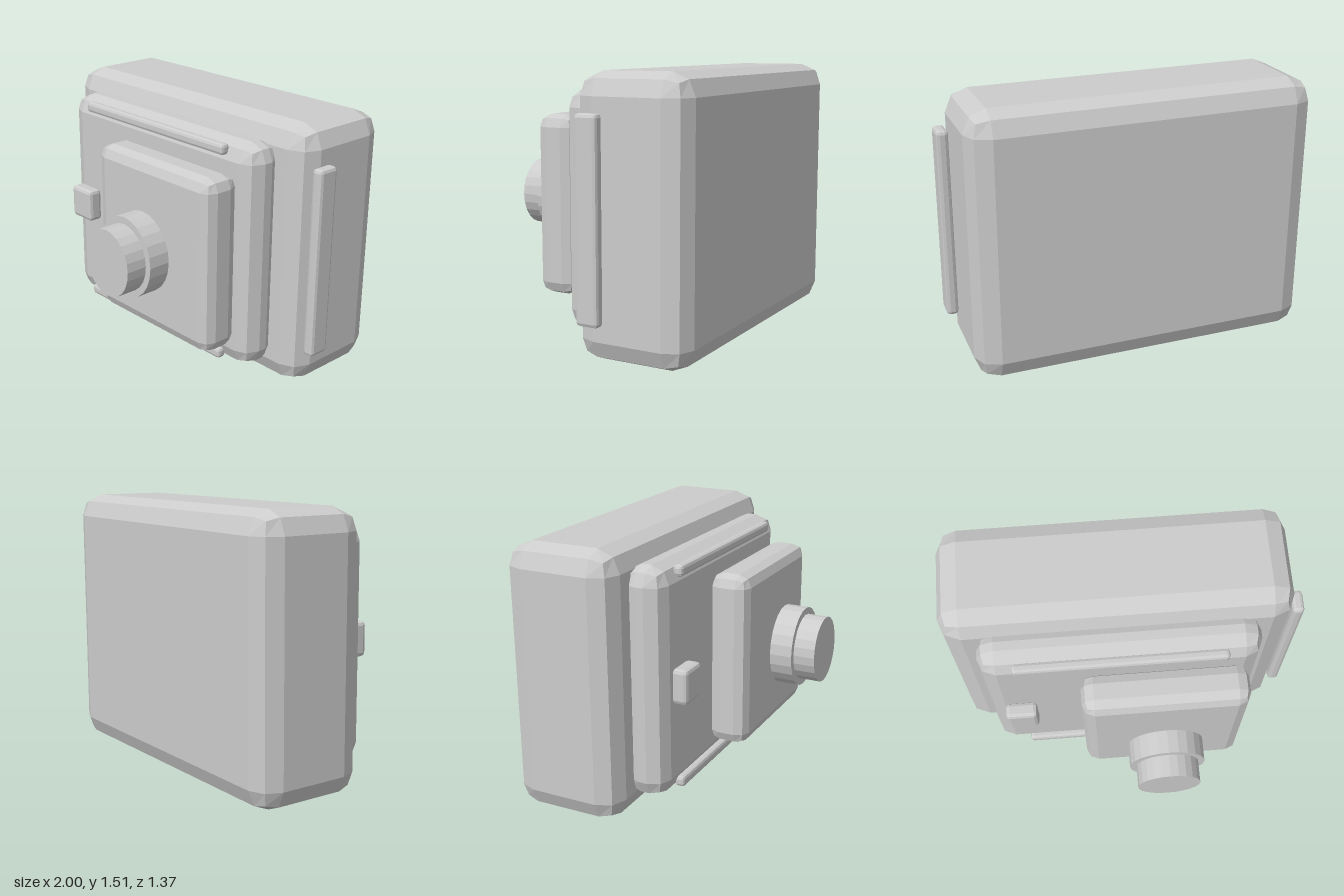
import * as THREE from 'three';
import { RoundedBoxGeometry } from 'three/addons/geometries/RoundedBoxGeometry.js';

const grey = new THREE.MeshStandardMaterial({ color: 0xcccccc });
grey.name = 'plain grey';

// Box between two corners, with a faceted two-step bevel on every edge
function bevelBox(name, [x0, x1], [y0, y1], [z0, z1], bevel) {
  const geometry = new RoundedBoxGeometry(x1 - x0, y1 - y0, z1 - z0, 1, bevel);
  geometry.computeVertexNormals(); // unindexed, so the facets become flat
  const mesh = new THREE.Mesh(geometry, grey);
  mesh.name = name;
  mesh.position.set((x0 + x1) / 2, (y0 + y1) / 2, (z0 + z1) / 2);
  return mesh;
}

// Faceted, slightly oval disc facing +z
function lensRing(name, rx, ry, z0, z1) {
  const geometry = new THREE.CylinderGeometry(1, 1, z1 - z0, 24)
    .rotateX(Math.PI / 2)
    .scale(rx, ry, 1)
    .toNonIndexed();
  geometry.computeVertexNormals();
  const mesh = new THREE.Mesh(geometry, grey);
  mesh.name = name;
  mesh.position.set(0.2, 0.757, (z0 + z1) / 2);
  return mesh;
}

export function createModel() {
  const model = new THREE.Group();
  model.name = 'boxCamera';

  // Stacked housing
  model.add(
    bevelBox('body', [-1, 0.935], [0, 1.51], [-0.684, -0.038], 0.125),
    bevelBox('frontPanel', [-0.805, 0.743], [0.108, 1.408], [-0.104, 0.148], 0.1),
    bevelBox('lensPlate', [-0.26, 0.664], [0.255, 1.26], [0.15, 0.382], 0.07)
  );

  // Lens, standing clear of its plate
  const lens = new THREE.Group();
  lens.name = 'lens';
  lens.add(
    lensRing('lensBase', 0.215, 0.233, 0.43, 0.56),
    lensRing('lensBarrel', 0.178, 0.193, 0.56, 0.684)
  );
  model.add(lens);

  // Rails along the top and bottom of the front panel
  for (const [name, y] of [['topRail', 1.363], ['bottomRail', 0.154]]) {
    model.add(bevelBox(name, [-0.615, 0.55], [y - 0.031, y + 0.031], [0.12, 0.177], 0.018));
  }

  // Square button and side grip
  model.add(
    bevelBox('button', [-0.705, -0.523], [0.658, 0.855], [0.154, 0.245], 0.022),
    bevelBox('sideGrip', [0.934, 1], [0.215, 1.302], [-0.228, -0.096], 0.02)
  );
  return model;
}
